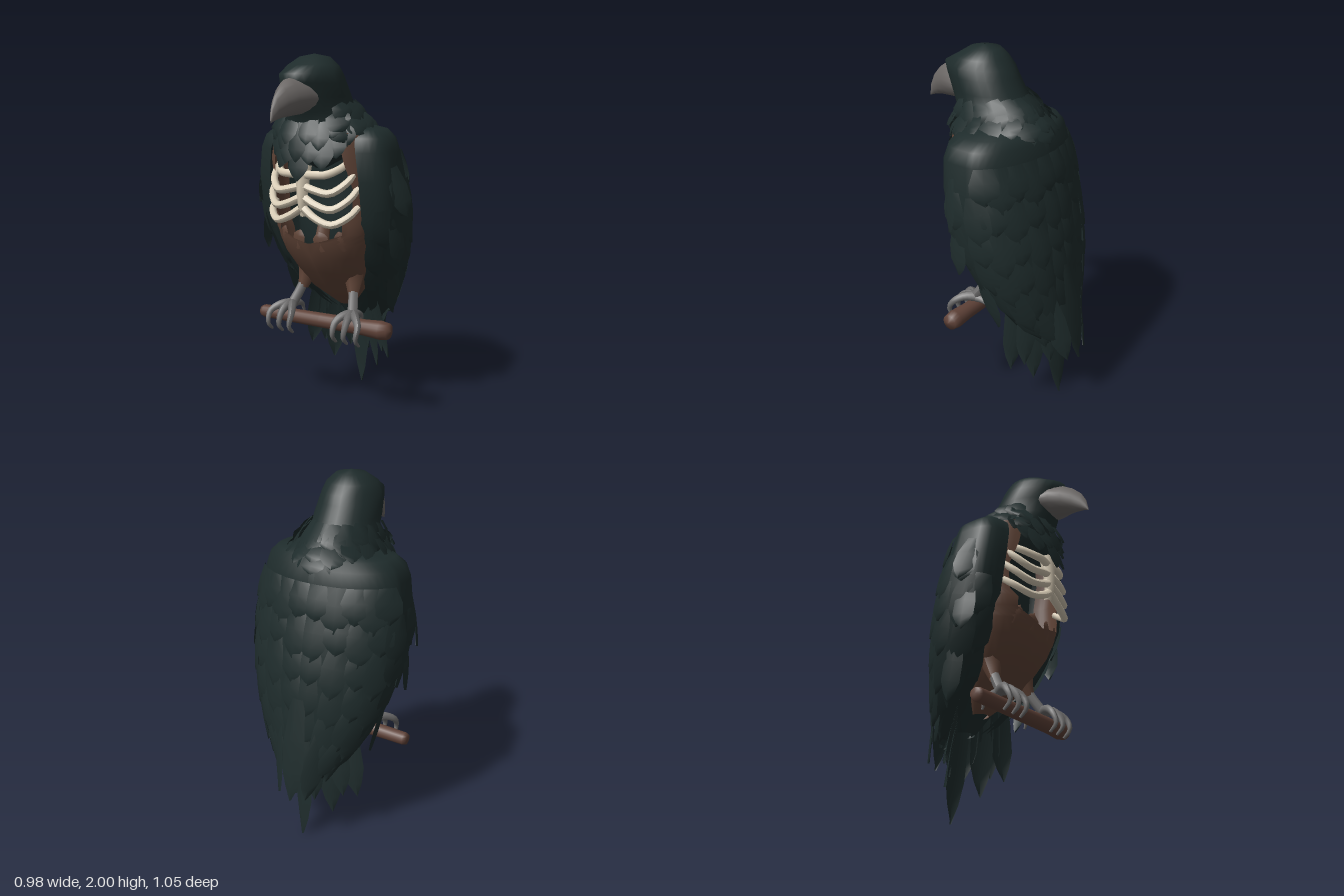
import * as THREE from 'three';
import { mergeGeometries, mergeVertices } from 'three/addons/utils/BufferGeometryUtils.js';

const V = (x, y, z) => new THREE.Vector3(x, y, z);
const mat = (name, color, side = THREE.FrontSide) =>
  Object.assign(new THREE.MeshStandardMaterial({ color, side }), { name });

// Skin a list of point rows, ordered from top to bottom
function loft(rings) {
  const n = rings[0].length, index = [];
  for (let i = 0; i < rings.length - 1; i++)
    for (let j = 0; j < n - 1; j++) {
      const a = i * n + j, b = a + 1, c = a + n, d = c + 1;
      index.push(c, d, b, c, b, a);
    }
  let g = new THREE.BufferGeometry().setFromPoints(rings.flat());
  g.setIndex(index);
  g = mergeVertices(g, 1e-5);
  g.computeVertexNormals();
  return g;
}

// Section rows are [y, half width, front z, back z, start angle, front exponent (below 1 blunt, above 1 pointed)]
function onSection([y, w, f, b, , e = 1], t) {
  const c = Math.cos(t);
  return V(w * Math.sin(t), y, (f + b) / 2 + (f - b) / 2 * (c > 0 ? c ** e : c));
}
function shell(rows, t1, seg) {
  return loft(rows.map(r => {
    const s = r[4] ?? 0;
    return Array.from({ length: seg + 1 }, (_, j) => onSection(r, s + (t1 - s) * j / seg));
  }));
}
function rowAt(rows, y) {
  let i = 0;
  while (i < rows.length - 2 && rows[i + 1][0] > y) i++;
  const a = rows[i], b = rows[i + 1], k = (y - a[0]) / (b[0] - a[0]);
  return a.map((v, c) => v + (b[c] - v) * k);
}

// A pointed feather with a raised centre line
function feather(base, tip, normal, width) {
  const dir = tip.clone().sub(base).normalize();
  const side = normal.clone().cross(dir).normalize().negate();
  const up = dir.clone().cross(side).normalize();
  if (up.dot(normal) < 0) up.negate();
  return loft([[0, 0.6], [0.4, 0.95], [0.7, 0.95], [0.86, 0.58], [1, 0.03]].map(([s, w]) =>
    [-1, 0, 1].map(k => base.clone().lerp(tip, s)
      .addScaledVector(side, k * w * width / 2)
      .addScaledVector(up, (k === 0 ? 0.012 : 0) + 0.008 * Math.sin(Math.PI * s)))));
}
// A row of feathers lying on a section surface
function featherRow(rows, y, count, t0, t1, len, width, flare) {
  return Array.from({ length: count }, (_, i) => {
    const t = t0 + (t1 - t0) * i / (count - 1);
    const l = len * (i % 2 ? 1.15 : 0.9);
    const r = rowAt(rows, y);
    const normal = V(Math.sin(t) / r[1], 0, 2 * Math.cos(t) / (r[2] - r[3])).normalize();
    const tip = onSection(rowAt(rows, y - l), t).addScaledVector(normal, flare);
    return feather(onSection(r, t), tip, normal, width);
  });
}

// A tube along points, narrowing from r0 to r1
function taper(points, r0, r1, seg = 12, sides = 8) {
  const curve = new THREE.CatmullRomCurve3(points.map(p => V(...p)));
  const g = new THREE.TubeGeometry(curve, seg, 1, sides);
  const p = g.attributes.position, v = V(0, 0, 0);
  for (let i = 0; i < p.count; i++) {
    const u = Math.floor(i / (sides + 1)) / seg, c = curve.getPointAt(u);
    v.fromBufferAttribute(p, i).sub(c).multiplyScalar(r0 + (r1 - r0) * u).add(c);
    p.setXYZ(i, v.x, v.y, v.z);
  }
  g.computeVertexNormals();
  return g;
}

export function createModel() {
  const model = new THREE.Group();
  model.name = 'skeletalBird';
  const plumage = mat('plumage', 0x1e2b2b, THREE.DoubleSide);
  const skin = mat('skin', 0x604437, THREE.DoubleSide);
  const bone = mat('bone', 0xd8ccb6);
  const horn = mat('beak', 0x6b6765);
  const legGrey = mat('legs', 0x6c6b6b);
  const wood = mat('wood', 0x5f4238);
  const add = (parent, name, geometry, material) => {
    const m = new THREE.Mesh(geometry, material);
    m.name = name;
    parent.add(m);
    return m;
  };
  const TAU = Math.PI * 2;

  // Head and neck, drawn to a point towards the beak
  const headRows = [
    [2.0, 0.005, 0.135, 0.125], [1.985, 0.08, 0.21, 0.04], [1.94, 0.135, 0.285, 0],
    [1.895, 0.16, 0.37, -0.04], [1.85, 0.17, 0.355, -0.06], [1.78, 0.18, 0.325, -0.1], [1.7, 0.18, 0.3, -0.14],
    [1.63, 0.22, 0.255, -0.21], [1.56, 0.25, 0.26, -0.25], [1.47, 0.16, 0.23, -0.24],
    [1.4, 0.02, 0.1, 0.0]].map(r => [...r, 0, r[0] > 1.65 && r[0] < 1.92 ? 1.45 : 1]);
  add(model, 'head', shell(headRows, TAU, 28), plumage);

  // Back and inner body, forming the rear wall of the chest opening
  const bodyRows = [
    [1.64, 0.02, 0, -0.1], [1.6, 0.26, 0.1, -0.23], [1.5, 0.3, 0.06, -0.27], [1.35, 0.3, 0.03, -0.3],
    [1.2, 0.3, 0.02, -0.33], [1.0, 0.27, 0.03, -0.36], [0.8, 0.21, -0.04, -0.38],
    [0.62, 0.17, -0.2, -0.39], [0.48, 0.06, -0.27, -0.37]];
  add(model, 'body', shell(bodyRows, TAU, 24), plumage);

  // Beak, lofted downwards and then turned to point forward
  const beak = shell([[-0.25, 0.115, 1.87, 1.7], [-0.31, 0.103, 1.885, 1.69], [-0.375, 0.075, 1.872, 1.685],
    [-0.43, 0.049, 1.838, 1.68], [-0.48, 0.025, 1.785, 1.67], [-0.508, 0.011, 1.73, 1.66],
    [-0.52, 0.002, 1.67, 1.655]].map(r => [...r, 0, 1.3]), TAU, 18);
  add(model, 'beak', beak.rotateX(-Math.PI / 2), horn);

  // Ruff and throat feathers
  const ruff = [
    ...featherRow(headRows, 1.76, 7, 2.2, TAU - 2.2, 0.13, 0.13, 0.02),
    ...featherRow(headRows, 1.74, 12, 1.1, TAU - 1.1, 0.09, 0.12, 0.03),
    ...featherRow(headRows, 1.69, 13, 0.9, TAU - 0.9, 0.09, 0.14, 0.055),
    ...featherRow(headRows, 1.64, 9, 0.9, TAU - 0.9, 0.1, 0.14, 0.04)];
  for (const [x, y, z] of [[0, 1.35, 0.3], [0.07, 1.44, 0.3], [0.13, 1.41, 0.265], [0.19, 1.47, 0.22], [0.23, 1.53, 0.17]])
    for (const s of x ? [1, -1] : [1]) {
      const n = V(s * x * 2, 0, 1);
      ruff.push(feather(V(s * x * 0.75, Math.min(y + 0.22, 1.64), 0.245 - x * 0.4), V(s * x, y, z), n, 0.13));
      ruff.push(feather(V(s * x * 0.7, Math.min(y + 0.3, 1.7), 0.26 - x * 0.5), V(s * x * 0.9, y + 0.1, z + 0.01), n, 0.11));
    }
  add(model, 'ruffFeathers', mergeGeometries(ruff), plumage);

  // Tail fan, its outer feathers turned edge-on to cup the tail
  const tail = [];
  for (const [x, y, z, w] of [[0, 0, -0.4, 0.13], [0.06, 0.24, -0.37, 0.13], [0.15, 0.16, -0.32, 0.14],
    [0.2, 0.27, -0.29, 0.13], [0.265, 0.26, -0.24, 0.13]])
    for (const s of x ? [1, -1] : [1])
      tail.push(feather(V(s * x * 0.5, 0.78, -0.32 + x * 0.5), V(s * x, y, z), V(s * (x ? 0.7 : 0.3), 0, -1), w));
  tail.push(feather(V(0, 0.9, -0.42), V(0, 0.31, -0.52), V(0, 0, -1), 0.14));
  add(model, 'tailFeathers', mergeGeometries(tail), plumage);

  // Sternum and the lower end of the spine
  add(model, 'sternum', taper([[0, 1.43, 0.235], [0, 1.35, 0.245], [0, 1.24, 0.25], [0, 1.16, 0.235]], 0.044, 0.02), bone);
  add(model, 'spine', taper([[0, 1.1, 0.03], [0, 1.03, 0.05], [0, 0.95, 0.07]], 0.035, 0.045), skin);

  // Everything that comes in mirrored pairs
  const wingRows = [
    [1.64, 0.2, 0.05, -0.17], [1.615, 0.33, 0.13, -0.23], [1.57, 0.38, 0.17, -0.26], [1.5, 0.405, 0.19, -0.28],
    [1.35, 0.43, 0.185, -0.315], [1.15, 0.435, 0.155, -0.36], [1.0, 0.415, 0.09, -0.39], [0.85, 0.375, 0, -0.41],
    [0.7, 0.32, -0.09, -0.415], [0.55, 0.23, -0.24, -0.43], [0.44, 0.12, -0.37, -0.46]]
    .map(r => [...r, r[0] > 1.1 ? 0.72 : 0.62, 0.48]);
  const skinRows = [
    [1.6, 0.28, 0.24, -0.12, 0.7], [1.45, 0.31, 0.25, -0.14, 0.78], [1.3, 0.31, 0.22, -0.16, 0.93],
    [1.16, 0.31, 0.22, -0.16, 0.9], [1.12, 0.31, 0.22, -0.17, 0.7], [1.06, 0.3, 0.22, -0.18, 0.72],
    [1.02, 0.29, 0.21, -0.19, 0.3], [1.0, 0.29, 0.2, -0.19, 0], [0.92, 0.27, 0.17, -0.22, 0], [0.82, 0.23, 0.1, -0.25, 0],
    [0.7, 0.17, 0, -0.25, 0], [0.57, 0.05, -0.17, -0.27, 0]];
  for (const [label, s] of [['left', 1], ['right', -1]]) {
    const half = new THREE.Group();
    half.name = label + 'Side';
    half.scale.x = s;
    model.add(half);

    // Bare skin on flank and belly, with torn flaps along the rim
    add(half, 'flankSkin', shell(skinRows, 1.95, 10), skin);
    add(half, 'tornSkin', mergeGeometries([
      feather(V(0.08, 0.96, 0.17), V(0.06, 1.07, 0.18), V(0.2, 0, 1), 0.09),
      feather(V(0.19, 0.97, 0.13), V(0.17, 1.08, 0.165), V(0.5, 0, 1), 0.08)]), skin);
    add(half, 'thigh', taper([[0.145, 0.88, -0.05], [0.155, 0.78, -0.03], [0.17, 0.69, 0]], 0.085, 0.03), skin);

    // Folded wing with layered feathers
    add(half, 'wing', shell(wingRows, 3.1, 18), plumage);
    const feathers = [];
    for (const [y, n, t0, len, w, flare] of [[1.5, 5, 2.0, 0.2, 0.16, 0.012], [1.36, 6, 1.5, 0.22, 0.15, 0.012],
      [1.2, 7, 1.1, 0.24, 0.14, 0.012], [1.04, 7, 0.9, 0.26, 0.13, 0.012], [0.88, 7, 0.85, 0.28, 0.12, 0.012],
      [0.74, 6, 0.9, 0.27, 0.1, 0.012]])
      feathers.push(...featherRow(wingRows, y, n, t0, 3.02, len, w, flare));
    feathers.push(
      feather(V(0.41, 1.42, 0.03), V(0.48, 1.16, -0.02), V(1, 0, 0.5), 0.12),
      feather(V(0.41, 1.15, 0), V(0.43, 0.89, -0.03), V(1, 0, 0.2), 0.13),
      feather(V(0.36, 0.9, -0.1), V(0.31, 0.56, -0.2), V(1, 0, 0.2), 0.12),
      feather(V(0.24, 0.8, -0.3), V(0.15, 0.42, -0.4), V(1, 0, -0.7), 0.12),
      feather(V(0.14, 0.75, -0.39), V(0.08, 0.33, -0.5), V(0.8, 0, -1), 0.12));
    add(half, 'wingFeathers', mergeGeometries(feathers), plumage);

    // Ribs
    for (const [y0, y1, y2, x2] of [[1.38, 1.385, 1.45, 0.21], [1.32, 1.29, 1.4, 0.25],
      [1.26, 1.205, 1.31, 0.265], [1.2, 1.125, 1.21, 0.265]])
      add(half, 'rib', taper([[0.01, y0, 0.25], [0.08, y0 * 0.4 + y1 * 0.6, 0.255], [x2 * 0.65, y1, 0.24],
        [x2 * 0.93, (y1 + y2) / 2, 0.18], [x2, y2, 0.12]], 0.023, 0.019), bone);

    // Leg, toes and claws
    add(half, 'leg', taper([[0.16, 0.75, -0.02], [0.18, 0.67, 0.02], [0.205, 0.59, 0.07]], 0.027, 0.03), legGrey);
    for (const x of [0.145, 0.215, 0.29])
      add(half, 'frontToe', taper([[0.205, 0.6, 0.06], [(x + 0.2) / 2, 0.6, 0.11], [x, 0.565, 0.16],
        [x, 0.5, 0.185], [x, 0.455, 0.145]], 0.03, 0.008), legGrey);
    add(half, 'backToe', taper([[0.205, 0.595, 0.07], [0.2, 0.59, 0], [0.2, 0.57, -0.035], [0.2, 0.52, -0.055]], 0.028, 0.006), legGrey);

    // Eye, covered by the same dark plumage
    const eye = add(half, 'eye', new THREE.SphereGeometry(0.025, 14, 10), plumage);
    eye.position.set(0.11, 1.865, 0.23);
  }

  // Perch
  const profile = [[0, -0.42], [0.03, -0.42], [0.038, -0.4], [0.042, 0], [0.045, 0.28],
    [0.052, 0.38], [0.044, 0.43], [0, 0.442]].map(p => new THREE.Vector2(...p));
  const perch = add(model, 'perch', new THREE.LatheGeometry(profile, 16).rotateZ(-Math.PI / 2), wood);
  perch.position.set(0, 0.53, 0.063);
  perch.rotation.z = 0.025;

  return model;
}
